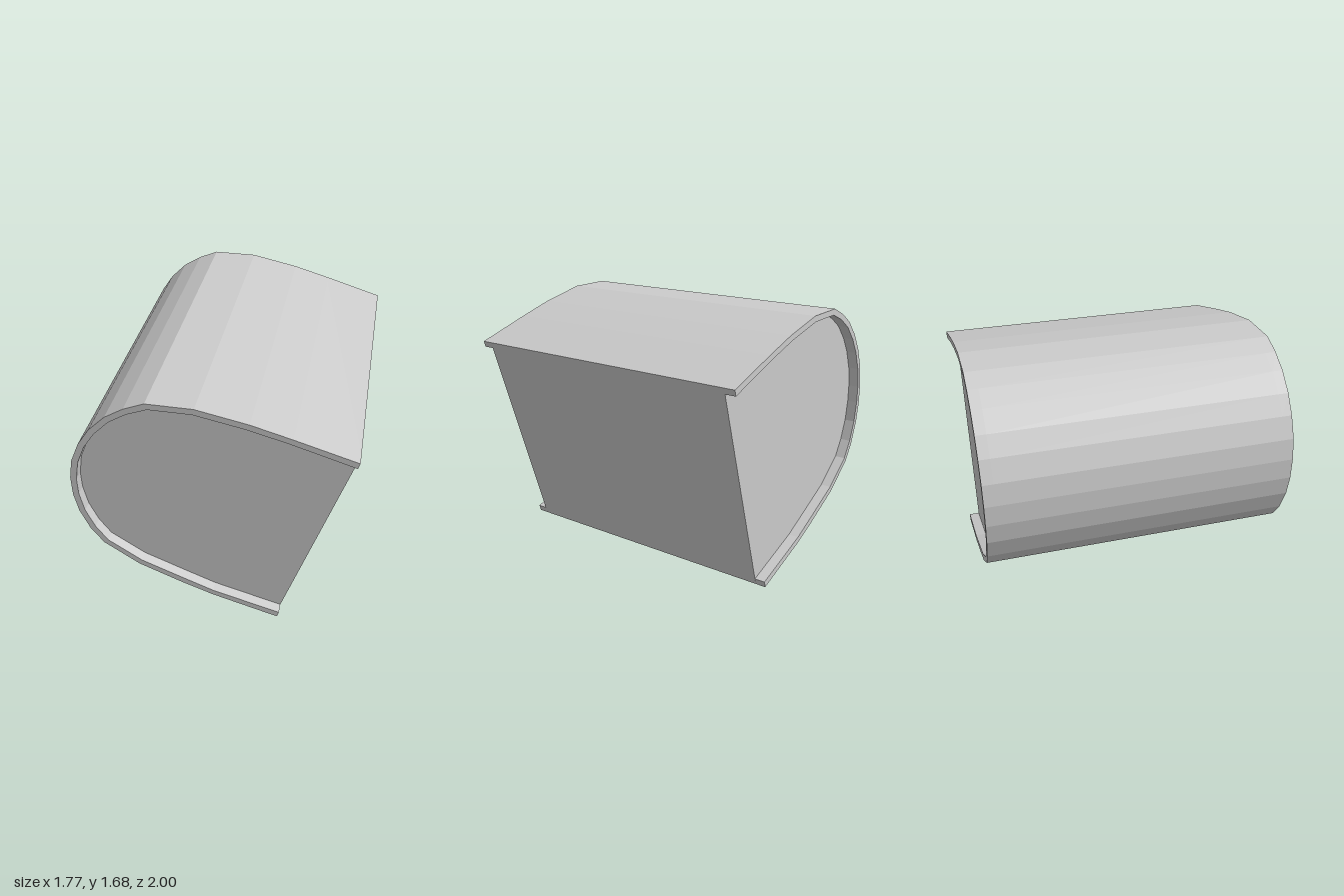
import * as THREE from 'three';

// Half-round outline, from the lower edge of the flat face round to its upper edge
const OUTER = [
  [0.45, 0], [0.01, 0.13], [-0.2, 0.21], [-0.49, 0.335], [-0.72, 0.495], [-0.8, 0.61],
  [-0.86, 0.76], [-0.885, 0.9], [-0.885, 1.04], [-0.86, 1.18], [-0.8, 1.32], [-0.72, 1.44],
  [-0.61, 1.55], [-0.49, 1.625], [-0.36, 1.68], [-0.07, 1.68], [0.25, 1.615], [0.5, 1.545], [0.885, 1.43],
];
const INNER = [
  [0.463, 0.043], [0.01, 0.172], [-0.18, 0.25], [-0.47, 0.372], [-0.69, 0.522], [-0.765, 0.635],
  [-0.82, 0.77], [-0.845, 0.91], [-0.845, 1.03], [-0.82, 1.17], [-0.765, 1.3], [-0.69, 1.412],
  [-0.59, 1.515], [-0.475, 1.588], [-0.345, 1.64], [-0.08, 1.64], [0.235, 1.577], [0.49, 1.508], [0.873, 1.39],
];
const HALF = 1; // half length along z
const RECESS = 0.07; // depth of the sunk end panels

export function createModel() {
  const group = new THREE.Group();
  const material = new THREE.MeshStandardMaterial({ color: 0xcccccc, flatShading: true });

  const addSlab = (name, points, z0, z1) => {
    const shape = new THREE.Shape(points.map(([x, y]) => new THREE.Vector2(x, y)));
    const geometry = new THREE.ExtrudeGeometry(shape, { depth: z1 - z0, bevelEnabled: false });
    const mesh = new THREE.Mesh(geometry, material);
    mesh.name = name;
    mesh.position.z = z0;
    group.add(mesh);
  };

  // Solid body between the two end panels
  addSlab('body', OUTER, -HALF + RECESS, HALF - RECESS);

  // Thin rims standing past the end panels, open along the flat face
  const rim = [...OUTER, ...[...INNER].reverse()];
  addSlab('frontRim', rim, HALF - RECESS, HALF);
  addSlab('backRim', rim, -HALF, -HALF + RECESS);

  return group;
}
